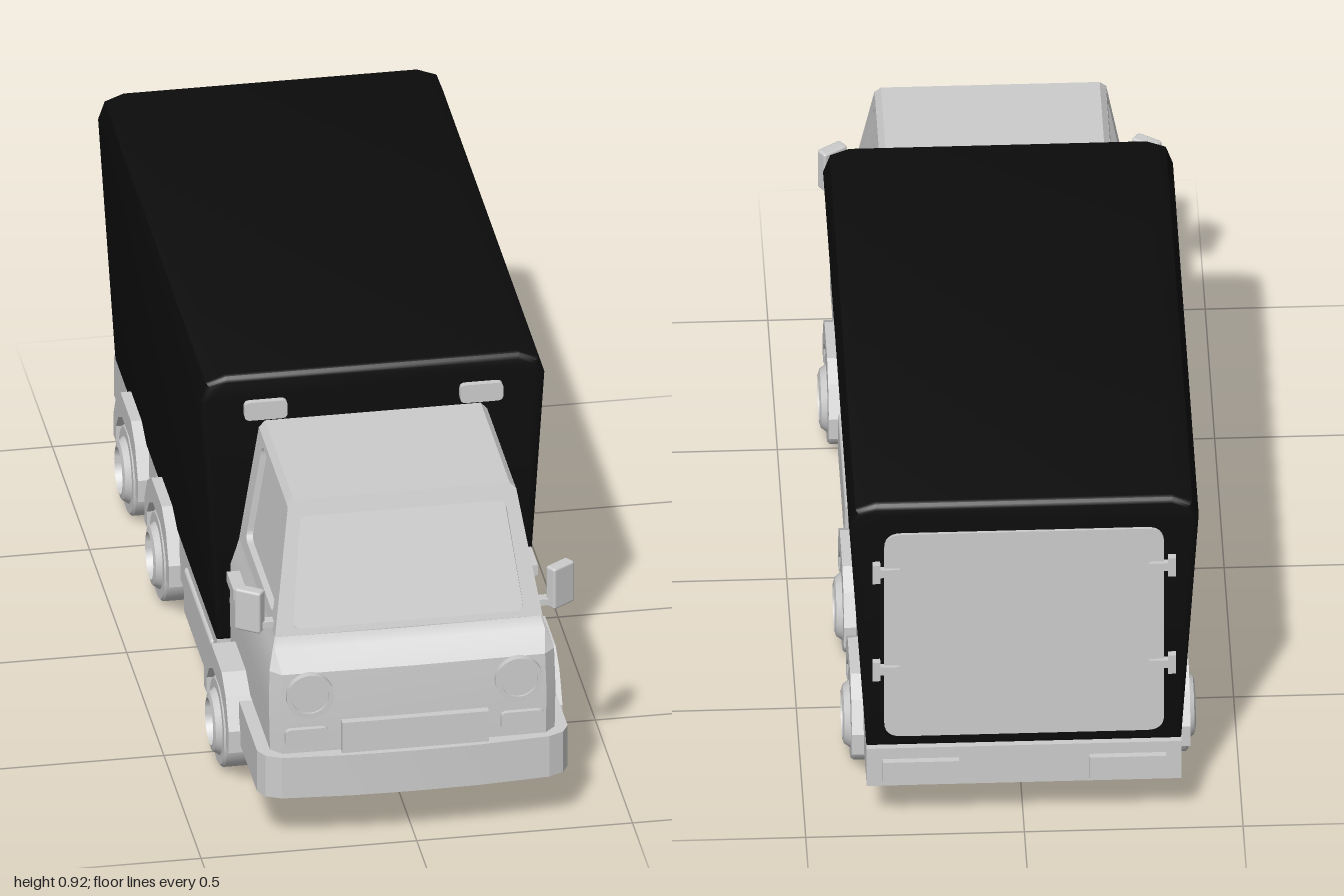
import * as THREE from 'three';
import { toCreasedNormals } from 'three/addons/utils/BufferGeometryUtils.js';
import { RoundedBoxGeometry } from 'three/addons/geometries/RoundedBoxGeometry.js';

// Polygon with corners rounded by radius r
function outline(pts, r = 0, Type = THREE.Shape) {
  const p = pts.map(([a, b]) => new THREE.Vector2(a, b));
  const shape = new Type();
  p.forEach((c, i) => {
    const before = p[(i + p.length - 1) % p.length], after = p[(i + 1) % p.length];
    const a = c.clone().add(before.clone().sub(c).setLength(r));
    const b = c.clone().add(after.clone().sub(c).setLength(r));
    if (i === 0) shape.moveTo(a.x, a.y); else shape.lineTo(a.x, a.y);
    if (r) shape.quadraticCurveTo(c.x, c.y, b.x, b.y);
  });
  shape.closePath();
  return shape;
}
const rect = (x, y, w, h) => [[x - w / 2, y - h / 2], [x + w / 2, y - h / 2], [x + w / 2, y + h / 2], [x - w / 2, y + h / 2]];
const extrude = (shape, depth) => new THREE.ExtrudeGeometry(shape, { depth, bevelEnabled: false, curveSegments: 6 });

// Moves each vertex along one axis by a rule of its height
function shear(geo, axis, rule) {
  const p = geo.attributes.position;
  for (let i = 0; i < p.count; i++) p.setComponent(i, axis, p.getComponent(i, axis) + rule(p.getY(i)));
  geo.computeVertexNormals();
  return geo;
}
// Shape drawn in (z, y), thickened between two x positions
const sideways = (shape, x0, x1) =>
  extrude(shape, Math.abs(x1 - x0)).rotateY(-Math.PI / 2).translate(Math.max(x0, x1), 0, 0);

export function createModel() {
  const model = new THREE.Group();
  const grey = new THREE.MeshStandardMaterial({ color: 0xcccccc, side: THREE.DoubleSide });
  grey.name = 'body grey';
  const black = new THREE.MeshStandardMaterial({ color: 0x0c0c0c, side: THREE.DoubleSide });
  black.name = 'cargo black';
  const add = (name, geo, mat = grey) => {
    const mesh = new THREE.Mesh(geo, mat);
    mesh.name = name;
    model.add(mesh);
    return mesh;
  };
  const box = (name, w, h, d, x, y, z) => add(name, new THREE.BoxGeometry(w, h, d).translate(x, y, z));

  // Cargo box: tapered section with soft ends
  const half = [[0.36, 0.235], [0.40, 0.86], [0.385, 0.903], [0.34, 0.92]];
  const section = [...half, ...half.map(([x, y]) => [-x, y]).reverse()];
  const cargo = new THREE.ExtrudeGeometry(outline(section), {
    depth: 1.36, bevelThickness: 0.015, bevelSize: 0.015, bevelOffset: -0.015, bevelSegments: 3,
  });
  add('cargoBox', toCreasedNormals(cargo.translate(0, 0, -0.965), 0.6), black);

  // Rear door with hinges
  add('rearDoor', extrude(outline(rect(0, 0.555, 0.64, 0.57), 0.04), 0.008).translate(0, 0, -0.987));

  // Lower cab: stacked plan outlines, open below
  const rows = [[0.235, 0.33, 0.965], [0.34, 0.332, 0.964], [0.435, 0.33, 0.957], [0.475, 0.317, 0.905], [0.5, 0.31, 0.893]];
  const verts = [], index = [];
  for (const [y, w, z] of rows) {
    const soft = y < 0.45 ? 0.025 : 0.004;
    const plan = [[w, 0.41], [w, z - soft], [w - soft, z], [0, z + 0.004]];
    for (const [x, pz] of [...plan, ...plan.slice(0, 3).reverse().map(([a, b]) => [-a, b])]) verts.push(x, y, pz);
  }
  for (let r = 0; r < rows.length - 1; r++) {
    for (let i = 0; i < 6; i++) {
      const a = r * 7 + i, b = a + 7;
      index.push(a, b, a + 1, a + 1, b, b + 1);
    }
  }
  const lower = new THREE.BufferGeometry();
  lower.setAttribute('position', new THREE.Float32BufferAttribute(verts, 3));
  lower.setIndex(index);
  add('lowerCab', toCreasedNormals(lower, 0.5));

  // Upper cab: leaning panels with recessed windows
  const frontZ = (y) => 0.893 - 0.096 * (y - 0.5) / 0.3;
  const wide = (y) => 0.31 - 0.048 * (y - 0.5) / 0.3;
  const screenPts = [[-0.268, 0.513], [0.268, 0.513], [0.238, 0.762], [-0.238, 0.762]];
  const frame = outline([[-0.31, 0.5], [0.31, 0.5], [0.265, 0.785], [0.25, 0.8], [-0.25, 0.8], [-0.265, 0.785]]);
  frame.holes.push(outline(screenPts, 0.02, THREE.Path));
  add('windscreenFrame', shear(extrude(frame, 0.02).translate(0, 0, -0.02), 2, frontZ));
  const glass = new THREE.ShapeGeometry(outline(screenPts, 0.02));
  add('windscreen', shear(glass, 2, (y) => frontZ(y) - 0.003 - 0.015 * (y - 0.5) / 0.3));
  const roofHalf = [[0.264, 0.785], [0.25, 0.8]];
  add('roof', extrude(outline([...roofHalf, ...roofHalf.map(([x, y]) => [-x, y]).reverse()]), 0.387).translate(0, 0, 0.41));
  add('cabBackWall', extrude(outline([[-0.328, 0.235], [0.328, 0.235], [0.328, 0.43], [0.308, 0.5], [0.262, 0.785], [-0.262, 0.785], [-0.308, 0.5], [-0.328, 0.43]]), 0.006).translate(0, 0, 0.412));

  // Bumper wrapping the nose, and rear beam
  const bumperHalf = [[0.325, 0.7], [0.36, 0.7], [0.36, 0.94], [0.345, 0.968], [0.31, 0.985], [0.15, 0.997]];
  const inner = [[-0.325, 0.92], [-0.3, 0.945], [0.3, 0.945], [0.325, 0.92]];
  const bumper = outline([...bumperHalf, [0, 1], ...bumperHalf.map(([x, z]) => [-x, z]).reverse(), ...inner]);
  add('frontBumper', toCreasedNormals(extrude(bumper, 0.105).rotateX(Math.PI / 2).translate(0, 0.235, 0), 0.3));
  box('rearBeam', 0.72, 0.105, 0.03, 0, 0.1825, -0.97);
  add('numberPlate', new THREE.BoxGeometry(0.34, 0.08, 0.03).translate(0, 0.273, 0.97));

  // Wheel profile: radius, distance from the centre line
  const profile = [[0, 0.345], [0.065, 0.345], [0.085, 0.305], [0.1, 0.305], [0.106, 0.312], [0.106, 0.38], [0.1, 0.386],
    [0.078, 0.386], [0.068, 0.4], [0.055, 0.404], [0.047, 0.372], [0.02, 0.372], [0.016, 0.385], [0, 0.385]]
    .map(([r, d]) => new THREE.Vector2(r, d));
  const arch = [[0.165, 0.11], [0.165, 0.165], [0.125, 0.235], [0.07, 0.27]];
  const archInner = [[0.05, 0.217], [0.1, 0.19], [0.13, 0.15], [0.13, 0.11]];
  const flip = (pts) => pts.map(([z, y]) => [-z, y]).reverse();

  for (const s of [1, -1]) {
    const side = s > 0 ? 'left' : 'right';

    // Doors with side windows
    const windowPts = [[0.47, 0.53], [0.835, 0.53], [0.768, 0.77], [0.47, 0.77]];
    const door = outline([[0.41, 0.5], [0.893, 0.5], [0.802, 0.785], [0.41, 0.785]]);
    door.holes.push(outline(windowPts, 0.025, THREE.Path));
    add(side + 'Door', shear(sideways(door, 0, -s * 0.02), 0, (y) => s * wide(y)));
    const pane = new THREE.ShapeGeometry(outline(windowPts, 0.025)).rotateY(-Math.PI / 2);
    add(side + 'Window', shear(pane, 0, (y) => s * (wide(y) - 0.015)));
    box(side + 'DoorHandle', 0.03, 0.026, 0.09, s * 0.338, 0.447, 0.537);

    // Wing mirror
    const mirror = add(side + 'Mirror', new RoundedBoxGeometry(0.065, 0.105, 0.03, 2, 0.006));
    mirror.position.set(s * 0.36, 0.55, 0.84);
    mirror.rotation.y = s * 0.6;
    box(side + 'MirrorArm', 0.055, 0.016, 0.025, s * 0.32, 0.513, 0.845);

    // Headlight with raised rim, fog light, marker light, tail light
    add(side + 'Headlight', new THREE.CylinderGeometry(0.043, 0.043, 0.025, 32).rotateX(Math.PI / 2).translate(s * 0.242, 0.382, 0.957));
    const rim = new THREE.Shape().absarc(0, 0, 0.055, 0, Math.PI * 2);
    rim.holes.push(new THREE.Path().absarc(0, 0, 0.043, 0, Math.PI * 2));
    const rimGeo = new THREE.ExtrudeGeometry(rim, { depth: 0.03, bevelEnabled: false, curveSegments: 32 });
    add(side + 'HeadlightRim', rimGeo.translate(s * 0.242, 0.382, 0.945));
    add(side + 'FogLight', extrude(outline(rect(s * 0.25, 0.277, 0.1, 0.046), 0.014), 0.022).translate(0, 0, 0.955));
    add(side + 'MarkerLight', extrude(outline(rect(s * 0.25, 0.833, 0.1, 0.046), 0.014), 0.02).translate(0, 0, 0.405));
    box(side + 'TailLight', 0.175, 0.06, 0.02, s * 0.237, 0.175, -0.99);

    // Door hinges
    for (const y of [0.735, 0.46]) {
      box(side + 'Hinge', 0.06, 0.022, 0.014, s * 0.315, y, -0.987);
      box(side + 'HingePin', 0.018, 0.052, 0.016, s * 0.338, y, -0.988);
    }

    // Skirt pieces between the wheels, and the side tank
    for (const [z0, z1] of [[0.4, -0.1], [-0.41, -0.515], [-0.825, -0.982]]) {
      box(side + 'Skirt', 0.035, 0.105, z0 - z1, s * 0.3425, 0.1825, (z0 + z1) / 2);
    }
    add(side + 'Tank', new RoundedBoxGeometry(0.078, 0.12, 0.36, 2, 0.01).translate(s * 0.329, 0.15, 0.175));

    // Wheels, spokes and arches
    for (const z of [0.55, -0.255, -0.67]) {
      const wheel = new THREE.Group();
      wheel.name = side + 'Wheel';
      wheel.position.set(0, 0.106, z);
      const tyre = toCreasedNormals(new THREE.LatheGeometry(profile, 36), 0.5).rotateZ(-s * Math.PI / 2);
      wheel.add(new THREE.Mesh(tyre, grey));
      for (let i = 0; i < 5; i++) {
        const spoke = new THREE.BoxGeometry(0.014, 0.036, 0.012).translate(s * 0.377, 0.032, 0).rotateX(i * Math.PI * 0.4);
        wheel.add(new THREE.Mesh(spoke, grey));
      }
      wheel.children.forEach((m, i) => { m.name = i ? 'spoke' : 'tyre'; });
      model.add(wheel);
      const archShape = outline([...arch, ...flip(arch), ...flip(archInner), ...archInner]);
      add(side + 'WheelArch', sideways(archShape, s * 0.3, s * 0.387).translate(0, 0, z));
    }
  }
  return model;
}
